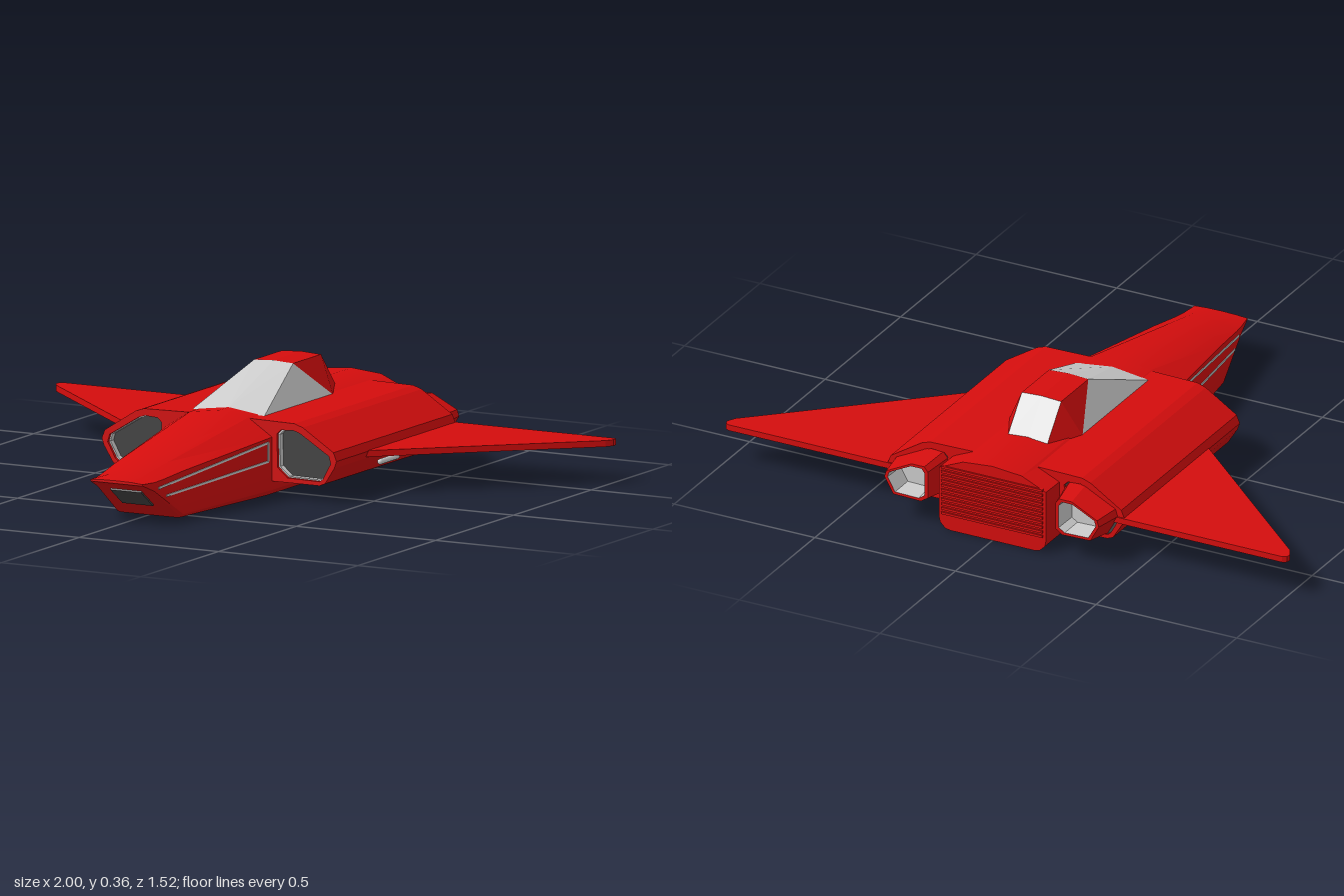
import * as THREE from 'three';
import { toCreasedNormals } from 'three/addons/utils/BufferGeometryUtils.js';

const mat = (color) => new THREE.MeshStandardMaterial({ color, side: THREE.DoubleSide });
const red = mat(0xd40d0d), grey = mat(0xcccccc), dark = mat(0x444444);

function add(parent, name, geometry, material) {
  const mesh = new THREE.Mesh(geometry, material);
  mesh.name = name;
  parent.add(mesh);
  return mesh;
}

// Polygons given as corner lists, fanned into flat triangles
function facets(polys) {
  const out = [];
  for (const p of polys)
    for (let i = 1; i < p.length - 1; i++) out.push(...p[0], ...p[i], ...p[i + 1]);
  const g = new THREE.BufferGeometry();
  g.setAttribute('position', new THREE.Float32BufferAttribute(out, 3));
  g.computeVertexNormals();
  return g;
}

// Skin over counter-clockwise rings, with optional end caps
function loft(rings, capStart, capEnd) {
  const polys = [];
  for (let r = 0; r < rings.length - 1; r++) {
    const a = rings[r], b = rings[r + 1], n = a.length;
    for (let i = 0; i < n; i++) {
      const j = (i + 1) % n;
      polys.push([a[i], a[j], b[j], b[i]]);
    }
  }
  if (capStart) polys.push([...rings[0]].reverse());
  if (capEnd) polys.push(rings[rings.length - 1]);
  return toCreasedNormals(facets(polys), 0.45);
}

const toShape = (pts) => new THREE.Shape(pts.map(([x, y]) => new THREE.Vector2(x, y)));
const scaled = (pts, s, cx = 0.305, cy = 0.145) =>
  pts.map(([x, y]) => [cx + (x - cx) * s, cy + (y - cy) * s]);

function extrude(pts, z0, z1, hole) {
  const shape = toShape(pts);
  if (hole) shape.holes.push(toShape(hole));
  const g = new THREE.ExtrudeGeometry(shape, { depth: z1 - z0, bevelEnabled: false });
  return g.translate(0, 0, z0);
}

// Thin square bar between two points
function bar(a, b, t) {
  const p = new THREE.Vector3(...a), q = new THREE.Vector3(...b);
  const g = new THREE.BoxGeometry(t, t, p.distanceTo(q));
  g.lookAt(q.clone().sub(p));
  const m = p.add(q).multiplyScalar(0.5);
  return g.translate(m.x, m.y, m.z);
}

// Hull cross-section: half width, bottom, shoulder and top heights
function hullRing([z, w, bottom, shoulder, top]) {
  const r = Math.min(0.04, 0.15 * (shoulder - bottom) + (z < 0.5 ? 0.02 : 0));
  const half = [
    [w - r, bottom], [w - 0.55 * r, bottom + 0.1 * r], [w - 0.1 * r, bottom + 0.55 * r],
    [w, bottom + r], [w, shoulder], [0.55 * w, shoulder + (top - shoulder) * 0.8],
  ];
  const left = [...half].reverse().map(([x, y]) => [-x, y]);
  return [...half, [0, top], ...left].map(([x, y]) => [x, y, z]);
}

function buildSide() {
  const side = new THREE.Group();

  // Engine pod with a recessed intake
  const podOutline = [[0.1, 0.055], [0.36, 0.055], [0.38, 0.063], [0.413, 0.115], [0.421, 0.138],
    [0.41, 0.165], [0.3, 0.235], [0.27, 0.245], [0.1, 0.248]];
  const intake = [[0.21, 0.1], [0.245, 0.07], [0.36, 0.068], [0.372, 0.077], [0.4, 0.128],
    [0.393, 0.152], [0.29, 0.215], [0.265, 0.223], [0.22, 0.22], [0.207, 0.207]];
  add(side, 'enginePod', extrude(podOutline, -0.665, 0.1, intake), red);
  add(side, 'intakeLiner', extrude(intake, 0.04, 0.09, scaled(intake, 0.95)), grey);
  add(side, 'intakeInterior', extrude(scaled(intake, 0.99), -0.66, 0.07), dark);

  // Tapered exhaust nozzle, open at the back
  const nozzle = [[0.21, 0.09], [0.24, 0.07], [0.36, 0.073], [0.398, 0.14],
    [0.39, 0.165], [0.28, 0.22], [0.225, 0.22], [0.21, 0.2]];
  const ring = (s, z) => scaled(nozzle, s).map(([x, y]) => [x, y, z]);
  add(side, 'exhaustNozzle', loft([ring(0.7, -0.76), ring(0.82, -0.76), ring(1, -0.66)]), red);
  add(side, 'exhaustInterior', loft([ring(0.66, -0.68), ring(0.7, -0.76)].slice(), true), grey);

  // Thin delta wing
  const wing = extrude([[0.38, 0.67], [0.985, 0.67], [0.998, 0.662], [1, 0.645], [0.985, 0.618], [0.415, 0.1], [0.38, 0.1]], 0, 0.02);
  wing.rotateX(-Math.PI / 2).translate(0, 0.12, 0);
  add(side, 'wing', wing, red);

  // Small gun under the wing root
  const gun = new THREE.CapsuleGeometry(0.009, 0.108, 4, 10);
  gun.rotateX(Math.PI / 2).translate(0.425, 0.094, -0.228);
  add(side, 'gun', gun, grey);

  // Trim lines along the nose
  const noseX = (z) => 0.19 - (z - 0.1) * 0.144;
  const trim = [[[0.12, 0.18], [0.68, 0.118]], [[0.12, 0.12], [0.64, 0.088]], [[0.12, 0.12], [0.12, 0.18]]];
  for (const [a, b] of trim) {
    const [p, q] = [a, b].map(([z, y]) => [noseX(z) - 0.001, y, z]);
    add(side, 'noseTrim', bar(p, q, 0.007), grey);
  }

  // Half of the canopy
  const foot = [0.13, 0.245, 0.045], brow = [0.07, 0.363, -0.25], sill = [0.13, 0.245, -0.4];
  const crown = [0.07, 0.363, -0.43], tail = [0.07, 0.25, -0.525];
  const midFoot = [0, 0.262, 0.045], midBrow = [0, 0.367, -0.25], midCrown = [0, 0.367, -0.43], midTail = [0, 0.258, -0.525];
  add(side, 'canopyGlass', facets([
    [midFoot, foot, brow, midBrow], [foot, sill, brow], [midCrown, crown, tail, midTail],
  ]), grey);
  add(side, 'canopyFrame', facets([
    [midBrow, brow, crown, midCrown], [brow, sill, crown], [crown, sill, tail],
  ]), red);
  return side;
}

export function createModel() {
  const model = new THREE.Group();
  model.name = 'spacecraft';

  // Hull: straight body tapering to a wedge nose
  const stations = [
    [-0.755, 0.19, 0.003, 0.215, 0.262], [0.1, 0.19, 0.003, 0.195, 0.264],
    [0.55, 0.125, 0.003, 0.155, 0.183], [0.66, 0.109, 0.08, 0.142, 0.163],
    [0.7, 0.103, 0.108, 0.139, 0.156], [0.76, 0.094, 0.136, 0.141, 0.145],
  ];
  add(model, 'hull', loft(stations.map(hullRing), true, true), red);

  // Dark port under the nose
  const port = add(model, 'nosePort', new THREE.BoxGeometry(0.11, 0.095, 0.012), dark);
  port.position.set(0, 0.08, 0.659);
  port.rotation.x = 0.956;

  // Horizontal slats across the stern
  for (let i = 0; i < 11; i++) {
    const slat = add(model, 'sternSlat', new THREE.BoxGeometry(0.36, 0.008, 0.01), red);
    slat.position.set(0, 0.06 + i * 0.016, -0.756);
  }

  // Mirrored sides
  for (const s of [1, -1]) {
    const side = buildSide();
    side.name = s > 0 ? 'leftSide' : 'rightSide';
    side.scale.x = s;
    model.add(side);
  }
  return model;
}
